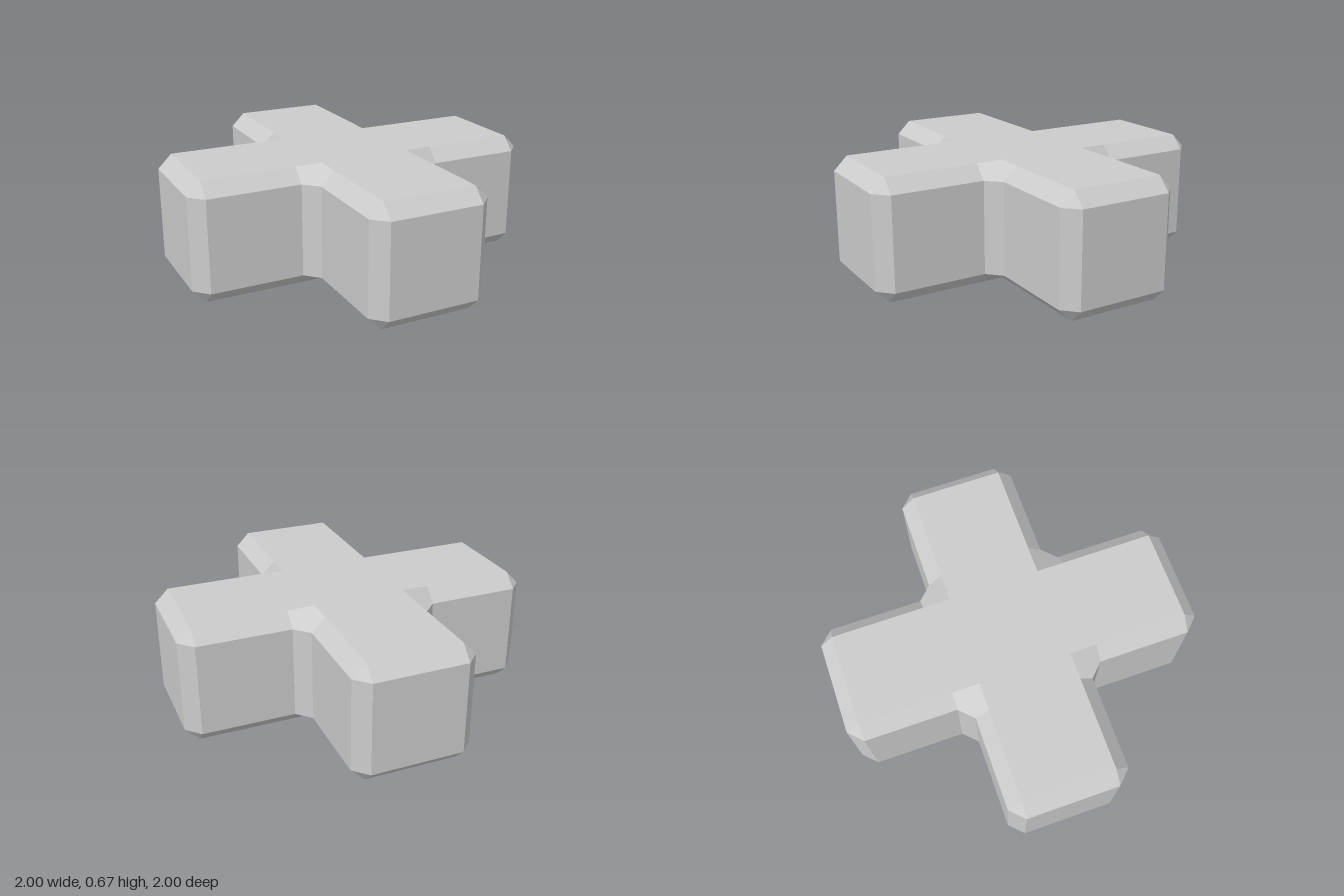
import * as THREE from 'three';

const H = 0.667;          // height
const W = 0.333;          // half width of an arm
const B = 0.076;          // bevel
const N = W - B;          // half width of the flat faces
const I = W + B;          // where the inner corner chamfer meets an arm
const E = 1 - B;          // where the end bevel starts
const M = H - B;          // top of the walls

// Collects flat polygons as triangle fans, one normal per polygon
function createFaces() {
  const positions = [], normals = [];
  const add = (points) => {
    const normal = new THREE.Vector3();
    points.forEach((p, i) => normal.add(p.clone().cross(points[(i + 1) % points.length])));
    normal.normalize();
    for (let i = 1; i < points.length - 1; i++) {
      for (const p of [points[0], points[i], points[i + 1]]) {
        positions.push(p.x, p.y, p.z);
        normals.push(normal.x, normal.y, normal.z);
      }
    }
  };
  const build = () => {
    const geometry = new THREE.BufferGeometry();
    geometry.setAttribute('position', new THREE.Float32BufferAttribute(positions, 3));
    geometry.setAttribute('normal', new THREE.Float32BufferAttribute(normals, 3));
    return geometry;
  };
  return { add, build };
}

// Faces of the front arm; mirrorX and mirrorY repeat a face on the other side
const armFaces = [
  // end wall
  { points: [[-N, B, 1], [N, B, 1], [N, M, 1], [-N, M, 1]] },
  // side wall and end corner chamfer
  { points: [[W, B, E], [W, B, I], [W, M, I], [W, M, E]], mirrorX: true },
  { points: [[N, B, 1], [W, B, E], [W, M, E], [N, M, 1]], mirrorX: true },
  // chamfer wall in the inner corner
  { points: [[W, B, I], [I, B, W], [I, M, W], [W, M, I]] },
  // flat top
  { points: [[-N, H, E], [N, H, E], [N, H, N], [-N, H, N]], mirrorY: true },
  // end bevel, side bevel and corner triangle
  { points: [[-N, M, 1], [N, M, 1], [N, H, E], [-N, H, E]], mirrorY: true },
  { points: [[W, M, E], [W, M, I], [N, H, I], [N, H, E]], mirrorX: true, mirrorY: true },
  { points: [[N, M, 1], [W, M, E], [N, H, E]], mirrorX: true, mirrorY: true },
  // bevel patch in the inner corner
  { points: [[N, H, N], [N, H, I], [W, M, I], [I, M, W], [I, H, N]], mirrorY: true },
];

const centreFace = { points: [[-N, H, N], [N, H, N], [N, H, -N], [-N, H, -N]], mirrorY: true };

export function createModel() {
  const faces = createFaces();
  const up = new THREE.Vector3(0, 1, 0);

  const addFace = ({ points, mirrorX, mirrorY }, angle) => {
    for (const flipX of mirrorX ? [false, true] : [false]) {
      for (const flipY of mirrorY ? [false, true] : [false]) {
        const corners = points.map(([x, y, z]) =>
          new THREE.Vector3(flipX ? -x : x, flipY ? H - y : y, z).applyAxisAngle(up, angle));
        // keep the fan's first corner first when the winding is reversed
        if (flipX !== flipY) corners.push(...corners.splice(1).reverse());
        faces.add(corners);
      }
    }
  };

  addFace(centreFace, 0);
  for (let arm = 0; arm < 4; arm++) {
    armFaces.forEach((face) => addFace(face, arm * Math.PI / 2));
  }

  const block = new THREE.Mesh(faces.build(), new THREE.MeshStandardMaterial({ color: 0xcccccc }));
  block.name = 'bevelledCrossBlock';

  const group = new THREE.Group();
  group.name = 'crossBlock';
  group.add(block);
  return group;
}
